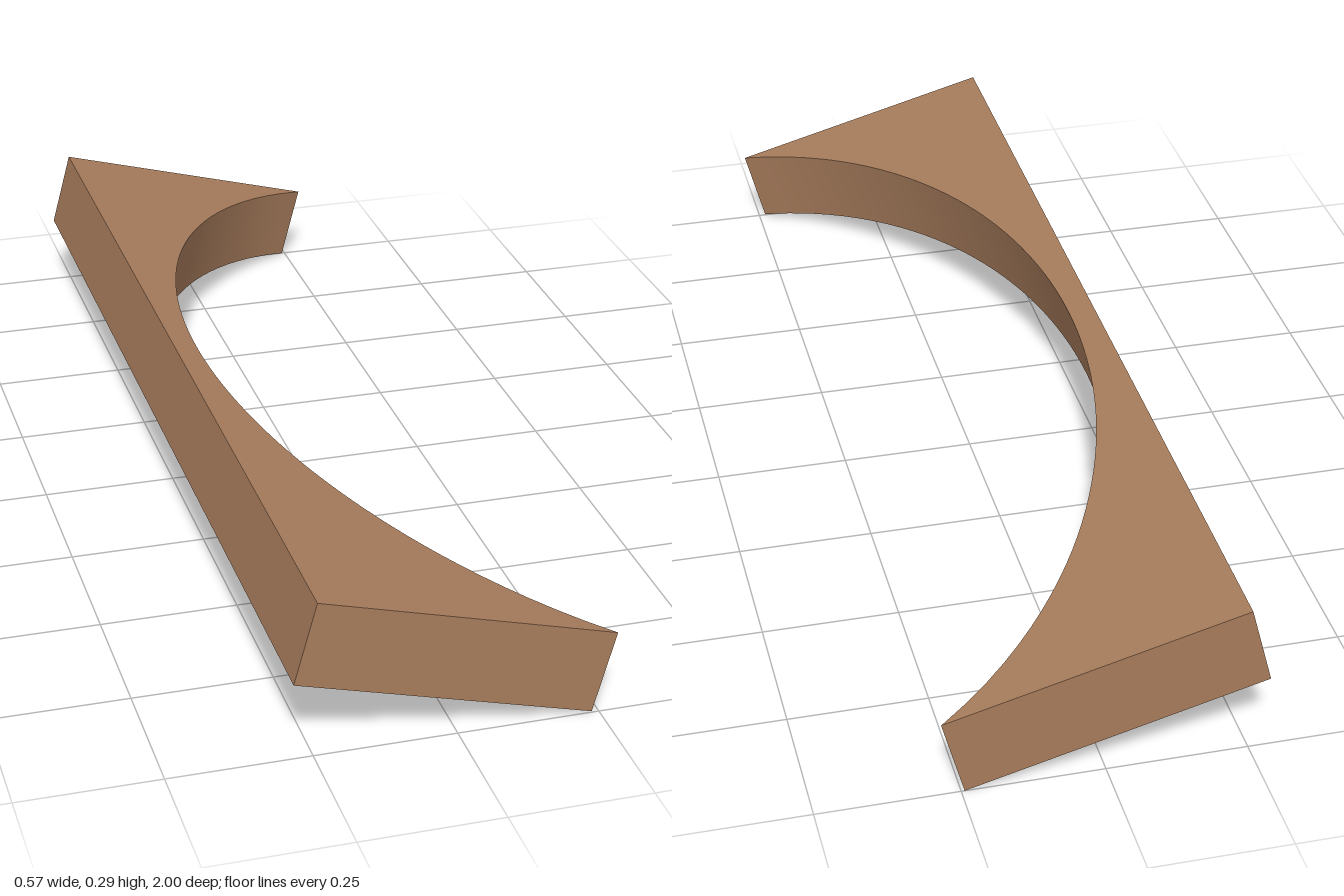
import * as THREE from 'three';
import { toCreasedNormals } from 'three/addons/utils/BufferGeometryUtils.js';

const TILT = THREE.MathUtils.degToRad(15);
const WIDTH = 0.546;      // along the slope, at the horns
const THICKNESS = 0.153;
const APEX = 0.048;       // narrowest width, at the middle of the arch
const ARCH_Z = 1.08;      // elliptical arch half axes
const ARCH_U = 0.794;
const ARCH_OFFSET = 0.002;

export function createModel() {
  const group = new THREE.Group();
  group.name = 'archedBrace';

  const wood = new THREE.MeshStandardMaterial({ color: 0xa67b5b });
  wood.name = 'brown wood';

  // Outline: straight back edge, square ends and a concave arch
  const shape = new THREE.Shape();
  shape.moveTo(0, 1);
  shape.lineTo(0, -1);
  const steps = 64;
  for (let i = 0; i <= steps; i++) {
    const z = -1 + (2 * i) / steps;
    const q = (z - ARCH_OFFSET) / ARCH_Z;
    const u = APEX + ARCH_U * (1 - Math.sqrt(1 - q * q));
    shape.lineTo(Math.min(u, WIDTH), z);
  }
  shape.closePath();

  // Lay the plate flat with its thickness downward, then smooth the arch
  let geometry = new THREE.ExtrudeGeometry(shape, { depth: THICKNESS, bevelEnabled: false });
  geometry.rotateX(Math.PI / 2);
  geometry = toCreasedNormals(geometry, 0.4);

  // Tilted plate, hung from its high back edge
  const plate = new THREE.Mesh(geometry, wood);
  plate.name = 'archedPlate';
  plate.rotation.z = -TILT;
  plate.position.set(-0.2435, 0.289, 0);
  group.add(plate);

  return group;
}
